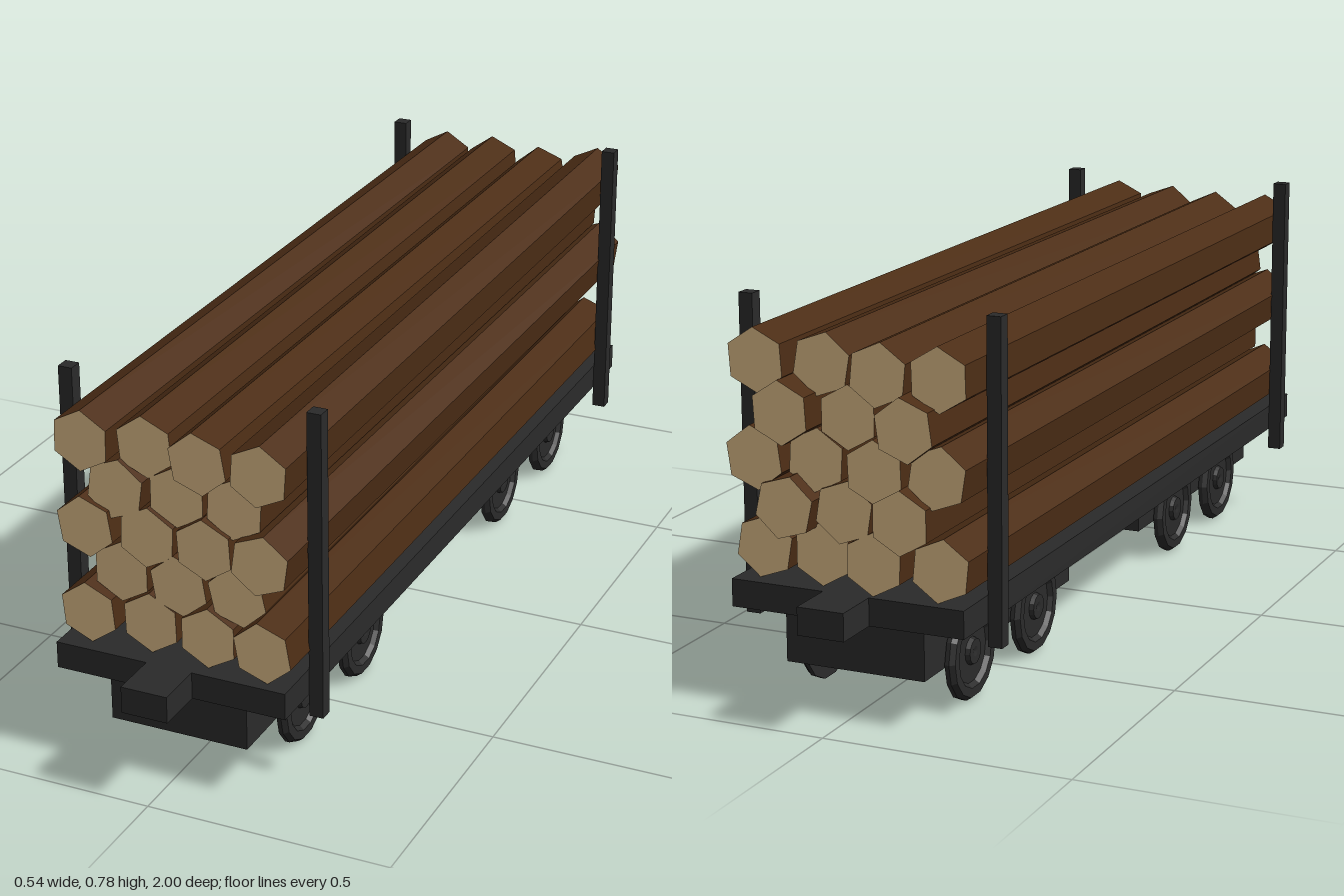
import * as THREE from 'three';

const iron = new THREE.MeshStandardMaterial({ color: 0x2a2a2a, flatShading: true });
const bark = new THREE.MeshStandardMaterial({ color: 0x4c2d15, flatShading: true });
const cutWood = new THREE.MeshStandardMaterial({ color: 0xdcbb88, flatShading: true });

function box(name, w, h, d, x, y, z) {
  const mesh = new THREE.Mesh(new THREE.BoxGeometry(w, h, d), iron);
  mesh.name = name;
  mesh.position.set(x, y, z);
  return mesh;
}

// Wheel turned around its axle: flat back, raised rim, sunken web and small hub
function wheel(side, z) {
  const profile = [
    [0, 0], [0.097, 0], [0.097, 0.009], [0.09, 0.019], [0.072, 0.019],
    [0.064, 0.01], [0.028, 0.01], [0.025, 0.019], [0.01, 0.019], [0, 0.016],
  ].map(([r, y]) => new THREE.Vector2(r, y));
  const mesh = new THREE.Mesh(new THREE.LatheGeometry(profile, 14), iron);
  mesh.name = 'wheel';
  mesh.rotation.z = -side * Math.PI / 2;
  mesh.position.set(side * 0.148, 0.097, z);
  return mesh;
}

// Six-sided log running from its front end to a slightly shifted back end
function log([x, y, roll, dx, dy, zFront, zBack]) {
  const front = new THREE.Vector3(x, y, zFront);
  const back = new THREE.Vector3(x + dx, y + dy, zBack);
  const geo = new THREE.CylinderGeometry(0.0625, 0.0625, front.distanceTo(back), 6);
  geo.rotateX(Math.PI / 2).rotateZ(roll);
  const mesh = new THREE.Mesh(geo, [bark, cutWood, cutWood]);
  mesh.name = 'log';
  mesh.position.copy(front).add(back).multiplyScalar(0.5);
  mesh.lookAt(front);
  return mesh;
}

// Front x, front y, roll, back shift x, back shift y, front z, back z
const logRows = [
  [
    [-0.186, 0.312, 0.1, 0, 0, 0.87, -0.88],
    [-0.058, 0.312, 0.03, 0.004, 0, 0.86, -0.89],
    [0.068, 0.312, 0, -0.005, 0, 0.87, -0.87],
    [0.186, 0.312, 0.17, 0, 0, 0.88, -0.87],
  ],
  [
    [-0.122, 0.403, 0, 0.004, 0, 0.85, -0.91],
    [0.004, 0.403, 0.16, 0.002, 0.001, 0.86, -0.89],
    [0.126, 0.407, 0.22, -0.005, -0.002, 0.86, -0.91],
  ],
  [
    [-0.186, 0.494, 0.16, 0.001, -0.004, 0.87, -0.89],
    [-0.06, 0.492, -0.04, -0.003, -0.002, 0.86, -0.9],
    [0.064, 0.496, 0.06, 0.004, -0.001, 0.87, -0.88],
    [0.186, 0.496, -0.14, 0.001, -0.004, 0.885, -0.9],
  ],
  [
    [-0.124, 0.58, -0.14, -0.004, -0.002, 0.86, -0.91],
    [0, 0.583, 0, 0, 0, 0.85, -0.88],
    [0.124, 0.587, -0.06, 0.005, -0.003, 0.86, -0.905],
  ],
  [
    [-0.188, 0.671, -0.03, 0.003, 0, 0.87, -0.88],
    [-0.064, 0.673, 0.1, -0.003, -0.002, 0.85, -0.89],
    [0.06, 0.675, 0.17, 0.004, -0.002, 0.88, -0.86],
    [0.186, 0.677, -0.07, -0.003, 0, 0.885, -0.895],
  ],
];

export function createModel() {
  const model = new THREE.Group();
  model.name = 'logWagon';

  // Flat deck
  model.add(box('deck', 0.484, 0.055, 1.8, 0, 0.2225, 0));

  for (const end of [1, -1]) {
    // Drawbar, wheel truck and corner stakes at each end
    model.add(box('drawbar', 0.096, 0.055, 0.1, 0, 0.2225, end * 0.95));
    const truck = new THREE.Group();
    truck.name = end > 0 ? 'frontTruck' : 'rearTruck';
    truck.add(box('truckFrame', 0.29, 0.106, 0.675, 0, 0.142, end * 0.53));
    const axles = end > 0 ? [0.65, 0.37] : [-0.396, -0.692];
    for (const side of [1, -1]) {
      for (const z of axles) truck.add(wheel(side, z));
      model.add(box('stake', 0.029, 0.63, 0.029, side * 0.2565, 0.464, end * 0.782));
    }
    model.add(truck);
  }

  // Stacked logs
  const load = new THREE.Group();
  load.name = 'logLoad';
  for (const row of logRows) for (const data of row) load.add(log(data));
  model.add(load);

  return model;
}
